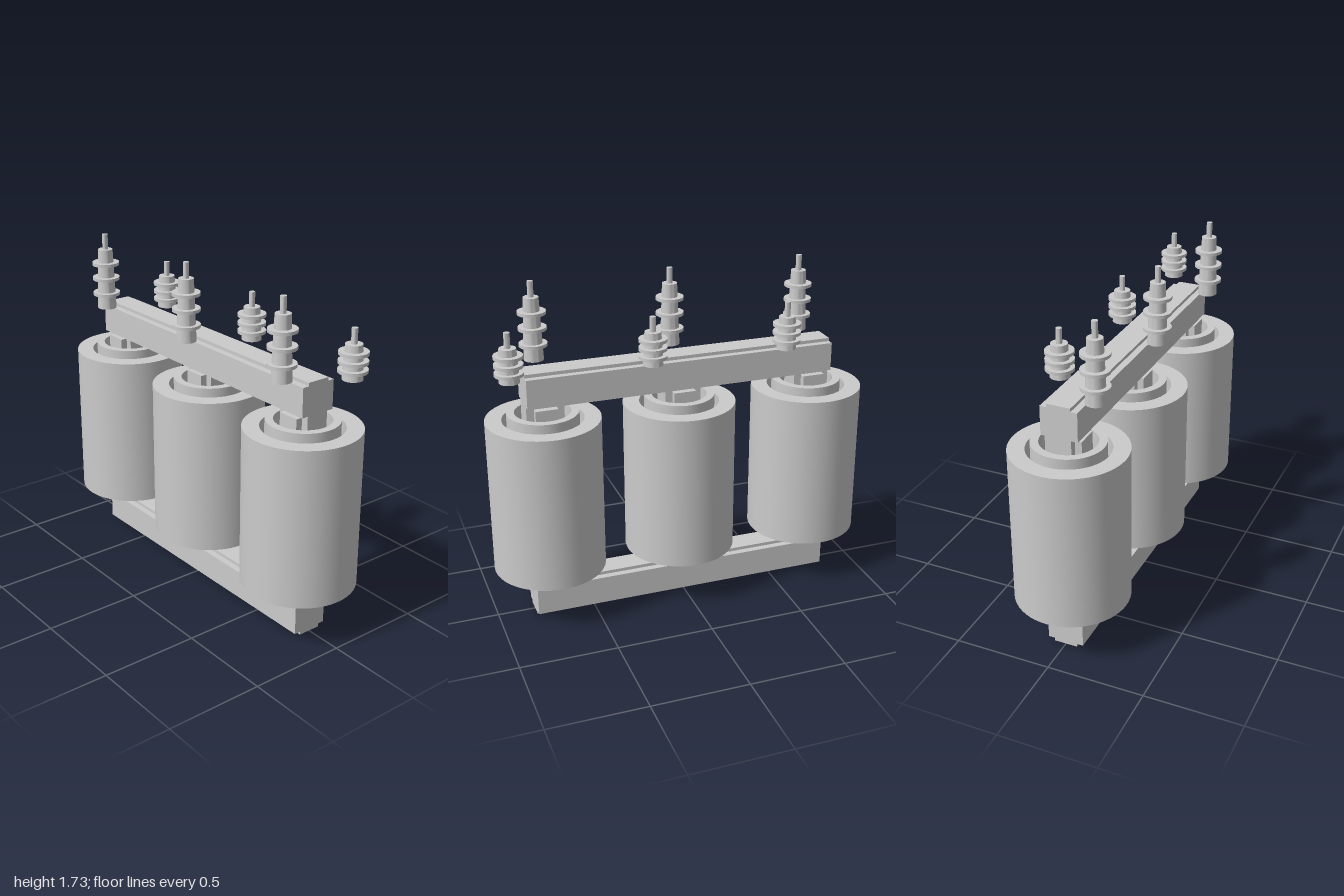
import * as THREE from 'three';
import { toCreasedNormals } from 'three/addons/utils/BufferGeometryUtils.js';

const material = new THREE.MeshStandardMaterial({ color: 0xcccccc });
const SPACING = 0.71;

function addMesh(parent, name, geometry, x = 0, y = 0, z = 0) {
  const mesh = new THREE.Mesh(geometry, material);
  mesh.name = name;
  mesh.position.set(x, y, z);
  parent.add(mesh);
  return mesh;
}

// Turned solid from [radius, height] pairs, listed from bottom to top
function turned(points, segments) {
  const profile = points.map(([r, y]) => new THREE.Vector2(r, y));
  return toCreasedNormals(new THREE.LatheGeometry(profile, segments), 0.6);
}

// Hollow winding, open right through
function tube(inner, outer, y0, y1) {
  return turned([[inner, y0], [outer, y0], [outer, y1], [inner, y1], [inner, y0]], 56);
}

// Bar with a stepped, cross-shaped section, centred on its own axis z
function steppedBar(w, h, stepW, stepH, length) {
  const quarter = [[w, h - stepH], [w - stepW, h - stepH], [w - stepW, h]];
  const mirrored = (sx, sy) => quarter.map(([x, y]) => new THREE.Vector2(x * sx, y * sy));
  const outline = [
    ...mirrored(1, 1), ...mirrored(-1, 1).reverse(),
    ...mirrored(-1, -1), ...mirrored(1, -1).reverse(),
  ];
  const geometry = new THREE.ExtrudeGeometry(new THREE.Shape(outline), { depth: length, bevelEnabled: false });
  return geometry.translate(0, 0, -length / 2);
}

// Insulator: body with ribs (sheds), then a terminal rod
function bushing({ base, neck, height, sheds, shedRadius, rodTop }) {
  const radiusAt = (y) => base + (neck - base) * (y / height);
  const points = [[0, 0], [base, 0]];
  for (const y of sheds) {
    points.push([radiusAt(y), y - 0.008], [shedRadius, y - 0.008]);
    points.push([shedRadius, y + 0.008], [radiusAt(y), y + 0.008]);
  }
  points.push([neck, height], [0.015, height], [0.015, rodTop], [0, rodTop]);
  return turned(points, 32);
}

export function createModel() {
  const model = new THREE.Group();
  model.name = 'transformer';

  // Laminated core: two yokes and three limbs
  const core = new THREE.Group();
  core.name = 'core';
  model.add(core);
  const yoke = steppedBar(0.094, 0.091, 0.034, 0.017, 1.61).rotateY(Math.PI / 2);
  addMesh(core, 'lowerYoke', yoke, 0, 0.091, 0);
  addMesh(core, 'upperYoke', yoke, 0, 1.239, 0);
  const limb = steppedBar(0.095, 0.094, 0.038, 0.034, 0.966).rotateX(Math.PI / 2);

  const tallBushing = bushing({
    base: 0.05, neck: 0.038, height: 0.32, sheds: [0.08, 0.163, 0.243], shedRadius: 0.071, rodTop: 0.4,
  });
  const shortBushing = bushing({
    base: 0.05, neck: 0.041, height: 0.17, sheds: [0.043, 0.085, 0.128], shedRadius: 0.071, rodTop: 0.245,
  });
  const outerCoil = tube(0.204, 0.288, 0.26, 1.073);
  const innerCoil = tube(0.14, 0.18, 0.222, 1.11);

  // One phase per limb: windings and the two bushings above
  for (const i of [-1, 0, 1]) {
    const phase = new THREE.Group();
    phase.name = 'phase';
    phase.position.x = i * SPACING;
    model.add(phase);
    addMesh(phase, 'limb', limb, 0, 0.665, 0);
    addMesh(phase, 'outerWinding', outerCoil);
    addMesh(phase, 'innerWinding', innerCoil);
    addMesh(phase, 'tallBushing', tallBushing, 0, 1.33, 0.141);
    addMesh(phase, 'shortBushing', shortBushing, 0.18, 1.33, -0.128);
  }
  return model;
}
